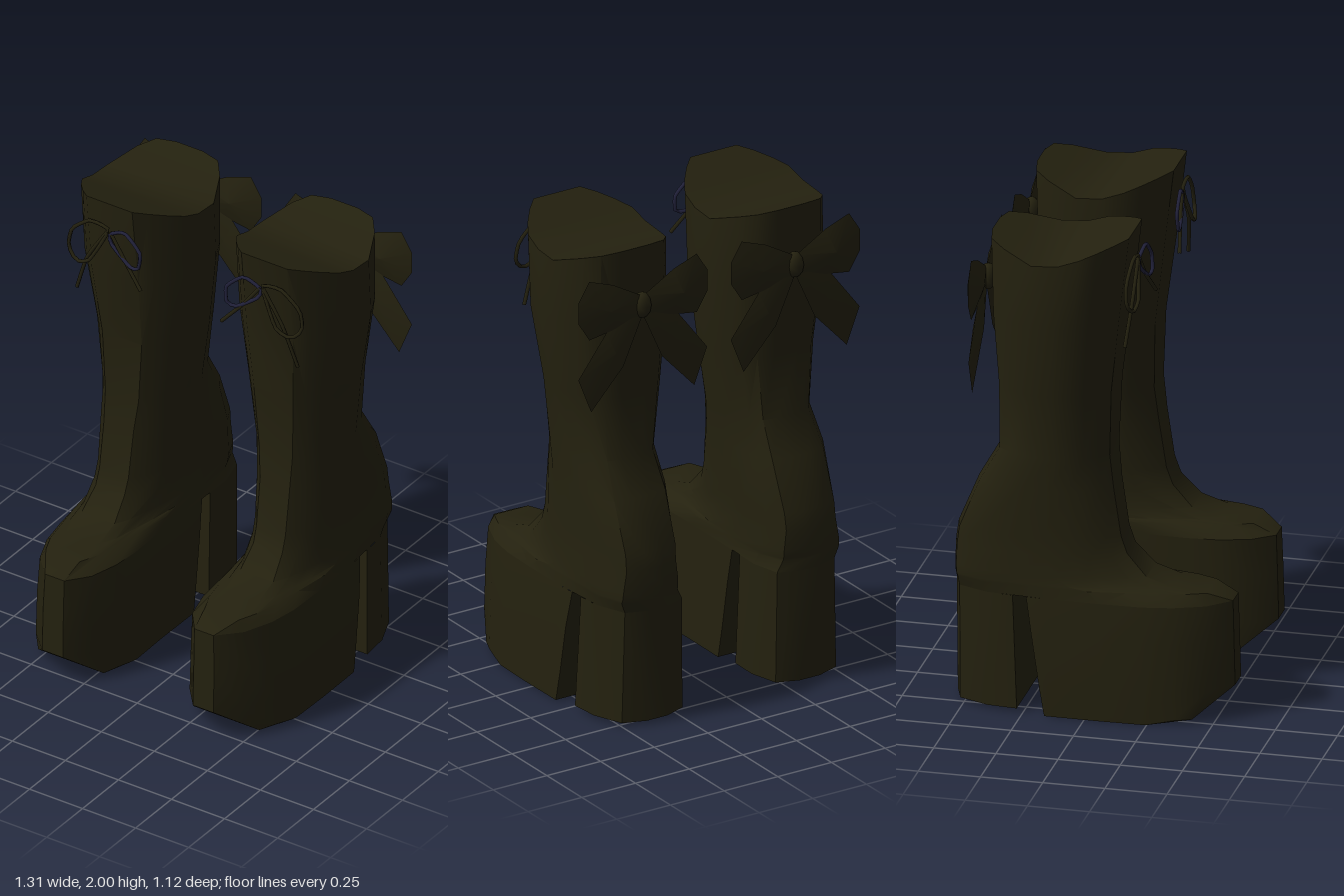
import * as THREE from 'three';
import { toCreasedNormals } from 'three/addons/utils/BufferGeometryUtils.js';

const leather = new THREE.MeshStandardMaterial({ color: 0x24210f });
leather.name = 'dark olive leather';
const lace = new THREE.MeshStandardMaterial({ color: 0x22223c });
lace.name = 'navy lace';

// Half-width profiles from back (0) to front (1)
const STATIONS = [0, 0.03, 0.14, 0.36, 0.55, 0.7, 0.81, 0.92, 1];
const SHAFT = [0.25, 0.58, 0.78, 1, 1, 0.97, 0.82, 0.62, 0.43];
const ANKLE = [0.25, 0.68, 0.9, 1, 1, 0.95, 0.85, 0.65, 0.4];
const VAMP = [0.25, 0.74, 0.96, 1, 1, 0.88, 0.76, 0.64, 0.45];
const FOOT = [0.25, 0.74, 0.96, 1, 1, 1, 0.91, 0.68, 0.25];
const M = STATIONS.length;

function widthAt(profile, t) {
  let i = 0;
  while (i < M - 2 && t > STATIONS[i + 1]) i++;
  const k = (t - STATIONS[i]) / (STATIONS[i + 1] - STATIONS[i]);
  return THREE.MathUtils.lerp(profile[i], profile[i + 1], k);
}

// Horizontal cross-section; y may be a function of z, cuts slice it flat
function ring(y, back, front, xc, w, profile, cutBack = -9, cutFront = 9) {
  const right = [], left = [];
  for (const s of STATIONS) {
    const z = THREE.MathUtils.clamp(back + (front - back) * s, cutBack, cutFront);
    const t = (z - back) / (front - back);
    const half = w * widthAt(profile, t);
    const c = xc - (profile === FOOT ? 0.025 * (2 * t - 1) ** 2 : 0);
    const h = typeof y === 'function' ? y(z) : y;
    right.push([c + half, h, z]);
    left.unshift([c - half, h, z]);
  }
  return [...right, ...left];
}

// Triangles to geometry, mirrored across x when s is -1
function solid(points, tris, s, crease) {
  const geo = new THREE.BufferGeometry();
  const pos = points.flatMap(([x, y, z]) => [x * s, y, z]);
  geo.setAttribute('position', new THREE.Float32BufferAttribute(pos, 3));
  geo.setIndex(tris.flatMap(([a, b, c]) => (s < 0 ? [a, c, b] : [a, b, c])));
  return toCreasedNormals(geo, crease);
}

// Skin over cross-sections from top to bottom, with strip caps
function loft(rings, s, capTop = true) {
  const n = 2 * M, tris = [], last = (rings.length - 1) * n;
  for (let r = 0; r < rings.length - 1; r++) {
    for (let i = 0; i < n; i++) {
      const a = r * n + i, b = r * n + (i + 1) % n;
      tris.push([a, b, a + n], [b, b + n, a + n]);
    }
  }
  for (let i = 0; i < M - 1; i++) {
    const l = n - 1 - i;
    if (capTop) tris.push([i, l, i + 1], [i + 1, l, l - 1]);
    tris.push([last + i, last + i + 1, last + l], [last + i + 1, last + l - 1, last + l]);
  }
  return solid(rings.flat(), tris, s, 0.7);
}

// Thin pillow: a flat outline raised to a point on both faces
function pillow(outline, thick, z, s) {
  const n = outline.length;
  const cx = outline.reduce((t, p) => t + p[0], 0) / n;
  const cy = outline.reduce((t, p) => t + p[1], 0) / n;
  const points = outline.map(([x, y]) => [x, y, z]);
  points.push([cx, cy, z + thick], [cx, cy, z - thick]);
  const tris = [];
  for (let i = 0; i < n; i++) {
    const j = (i + 1) % n;
    tris.push([i, j, n], [j, i, n + 1]);
  }
  return solid(points, tris, s, 0.5);
}

function cord(points, s, closed) {
  const curve = new THREE.CatmullRomCurve3(
    points.map(([x, y, z]) => new THREE.Vector3(x * s, y, z)), closed, 'catmullrom', 0.3);
  return new THREE.TubeGeometry(curve, 20, 0.008, 5, closed);
}

function add(group, name, geometry, material = leather) {
  const mesh = new THREE.Mesh(geometry, material);
  mesh.name = name;
  group.add(mesh);
  return mesh;
}

function makeBoot(s) {
  const boot = new THREE.Group();

  // Shaft and upper, with a top rim that dips at the sides
  const rimY = z => 1.89 + (z > -0.16 ? (z + 0.16) * 0.349 : (-0.16 - z) * 0.327);
  const base = [0.485, -0.555, 0.555, 0.377, 0.18, FOOT];
  add(boot, 'upper', loft([
    ring(rimY, -0.405, 0.155, 0.365, 0.25, SHAFT),
    ring(1.65, -0.395, 0.115, 0.365, 0.255, SHAFT),
    ring(1.34, -0.378, 0.078, 0.357, 0.215, SHAFT),
    ring(1.07, -0.38, 0.07, 0.3625, 0.182, SHAFT),
    ring(0.93, -0.46, 0.085, 0.368, 0.174, ANKLE),
    ring(0.73, -0.543, 0.115, 0.37, 0.17, ANKLE),
    ring(0.66, -0.553, 0.14, 0.372, 0.169, ANKLE),
    ring(0.575, -0.556, 0.22, 0.374, 0.172, VAMP),
    ring(0.54, -0.556, 0.33, 0.375, 0.174, VAMP),
    ring(0.53, -0.556, 0.465, 0.375, 0.176, VAMP),
    ring(...base),
  ], s));

  // Platform with an upturned toe
  add(boot, 'platformSole', loft([
    ring(...base, -0.24),
    ring(0.33, -0.555, 0.56, 0.38, 0.19, FOOT, -0.215),
    ring(0.135, -0.555, 0.565, 0.38, 0.194, FOOT, -0.185),
    ring(0.02, -0.555, 0.565, 0.38, 0.197, FOOT, -0.165, 0.42),
    ring(0, -0.555, 0.565, 0.38, 0.197, FOOT, -0.16, 0.25),
  ], s, false));

  // Block heel
  add(boot, 'heel', loft([
    ring(...base, -9, -0.295),
    ring(0.015, -0.55, 0.56, 0.38, 0.19, FOOT, -9, -0.275),
  ], s, false));

  // Large bow at the back
  const bow = new THREE.Group();
  bow.name = 'backBow';
  const loop = [[0, 1.70], [0.12, 1.67], [0.25, 1.65], [0.3, 1.73], [0.3, 1.82],
    [0.25, 1.9], [0.14, 1.86], [0, 1.78]];
  const tail = [[0, 1.7], [0.09, 1.5], [0.24, 1.34], [0.3, 1.49], [0.17, 1.66], [0.02, 1.75]];
  for (const m of [1, -1]) {
    const shape = o => (m > 0 ? o : [...o].reverse()).map(([x, y]) => [0.355 + m * x, y]);
    add(bow, 'bowLoop', pillow(shape(loop), 0.034, -0.447, s));
    add(bow, 'bowTail', pillow(shape(tail), 0.022, -0.445, s));
  }
  const knot = add(bow, 'bowKnot', new THREE.SphereGeometry(1, 8, 6));
  knot.scale.set(0.04, 0.055, 0.035);
  knot.position.set(0.355 * s, 1.74, -0.44);
  boot.add(bow);

  // Small tied lace at the front
  const tie = new THREE.Group();
  tie.name = 'frontLace';
  add(tie, 'innerLaceLoop', cord([[0.355, 1.87, 0.165], [0.28, 1.905, 0.175], [0.205, 1.84, 0.18],
    [0.21, 1.77, 0.185], [0.255, 1.765, 0.18], [0.345, 1.83, 0.17]], s, true), lace);
  add(tie, 'outerLaceLoop', cord([[0.365, 1.89, 0.165], [0.45, 1.9, 0.165], [0.535, 1.83, 0.16],
    [0.55, 1.75, 0.165], [0.505, 1.705, 0.18], [0.44, 1.73, 0.185], [0.38, 1.84, 0.17]], s, true));
  add(tie, 'innerLaceEnd', cord([[0.355, 1.88, 0.165], [0.28, 1.78, 0.175], [0.19, 1.68, 0.195]], s, false));
  add(tie, 'outerLaceEnd', cord([[0.365, 1.88, 0.165], [0.46, 1.73, 0.165], [0.52, 1.56, 0.15]], s, false));
  boot.add(tie);
  return boot;
}

export function createModel() {
  const model = new THREE.Group();
  model.name = 'platformBoots';
  for (const s of [1, -1]) {
    const boot = makeBoot(s);
    boot.name = s > 0 ? 'leftBoot' : 'rightBoot';
    model.add(boot);
  }
  return model;
}
